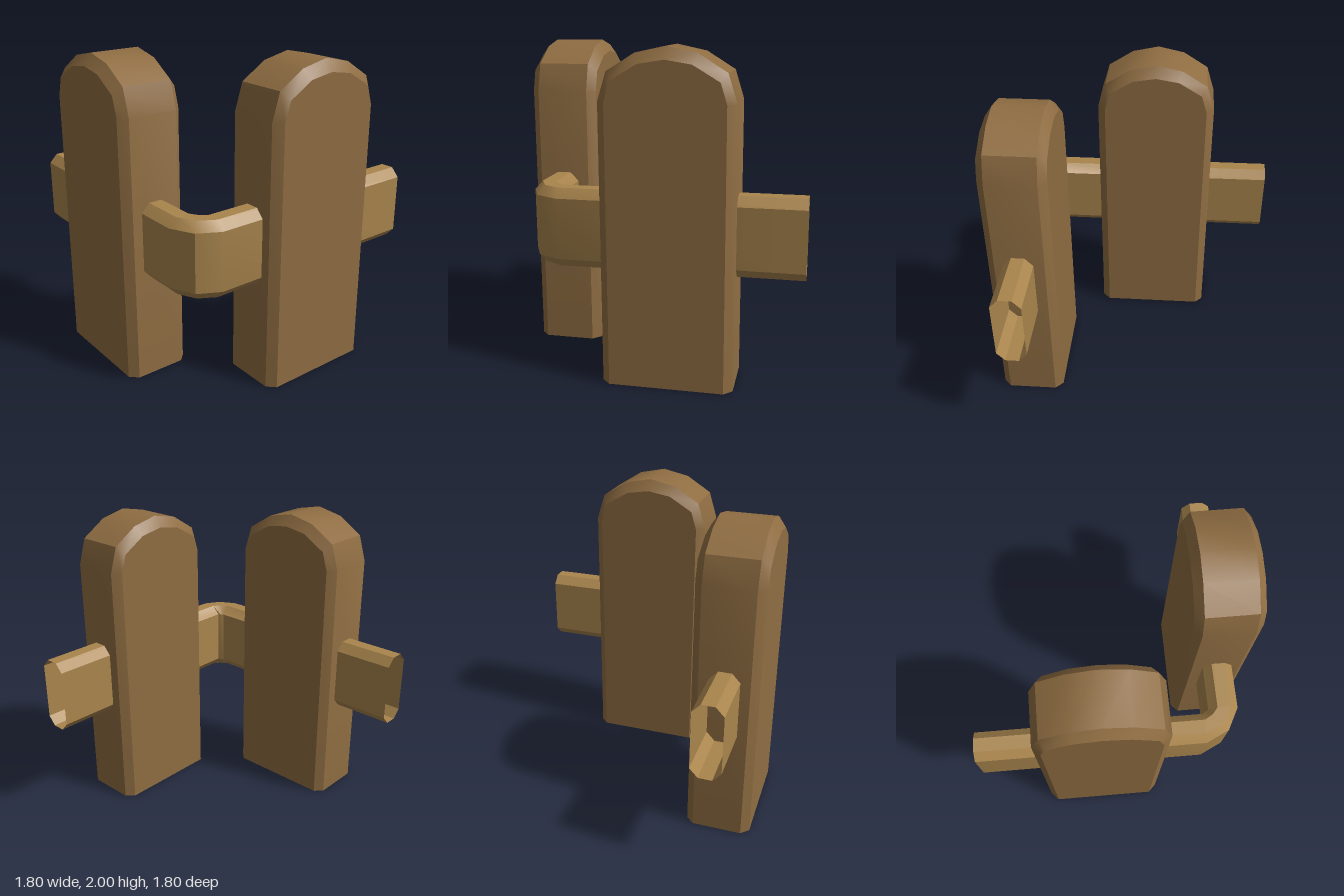
import * as THREE from 'three';
import { toCreasedNormals } from 'three/addons/utils/BufferGeometryUtils.js';

// Skin a series of matching closed rings; optionally close both ends with fans.
function loft(rings, capped) {
  const n = rings[0].length, index = [];
  for (let i = 0; i < rings.length - 1; i++) {
    for (let j = 0; j < n; j++) {
      const a = i * n + j, b = i * n + (j + 1) % n;
      index.push(a, b, b + n, a, b + n, a + n);
    }
  }
  if (capped) {
    const last = (rings.length - 1) * n;
    for (let j = 1; j < n - 1; j++) {
      index.push(0, j + 1, j, last, last + j, last + j + 1);
    }
  }
  const geometry = new THREE.BufferGeometry().setFromPoints(rings.flat());
  geometry.setIndex(index);
  return toCreasedNormals(geometry, 0.6);
}

// Round-topped post, with chamfered edges except along its foot.
function postGeometry() {
  const outer = [[0.395, 0], [0.395, 1.69], [0.343, 1.858], [0.177, 1.962], [0, 2]];
  const inner = [[0.345, 0], [0.345, 1.69], [0.308, 1.81], [0.153, 1.903], [0, 1.928]];
  const ring = (half, z) => {
    const mirrored = half.slice(0, -1).reverse().map(([x, y]) => [-x, y]);
    return [...half, ...mirrored].map(([x, y]) => new THREE.Vector3(x, y, z));
  };
  return loft([ring(inner, -0.21), ring(outer, -0.16), ring(outer, 0.16), ring(inner, 0.21)], true);
}

// Hollow chamfered rail, open at both ends, turning the corner in two steps.
function railGeometry() {
  const section = [
    [0.095, -0.187], [0.095, 0.187], [0.043, 0.243], [-0.043, 0.243],
    [-0.095, 0.187], [-0.095, -0.187], [-0.043, -0.243], [0.043, -0.243],
  ];
  // Each stop: centre x, centre z, and the angle of the section's inward side.
  const stops = [
    [-0.697, -0.905, 0], [-0.697, 0.565, 0], [-0.653, 0.648, Math.PI / 4],
    [-0.58, 0.695, Math.PI / 2], [0.9, 0.695, Math.PI / 2],
  ];
  return loft(stops.map(([x, z, angle]) => section.map(([u, v]) =>
    new THREE.Vector3(x + u * Math.cos(angle), 0.916 + v, z - u * Math.sin(angle)))), false);
}

export function createModel() {
  const model = new THREE.Group();
  model.name = 'cornerFence';

  const postWood = new THREE.MeshStandardMaterial({ color: 0x8f6d42 });
  const railWood = new THREE.MeshStandardMaterial({ color: 0xa9854d, side: THREE.DoubleSide });

  // Two posts, one on each arm of the corner
  const post = postGeometry();
  const frontPost = new THREE.Mesh(post, postWood);
  frontPost.name = 'frontPost';
  frontPost.position.set(0.105, 0, 0.69);

  const sidePost = new THREE.Mesh(post, postWood);
  sidePost.name = 'sidePost';
  sidePost.position.set(-0.695, 0, -0.105);
  sidePost.rotation.y = Math.PI / 2;

  // Rail running through both posts
  const rail = new THREE.Mesh(railGeometry(), railWood);
  rail.name = 'cornerRail';

  model.add(frontPost, sidePost, rail);
  return model;
}
